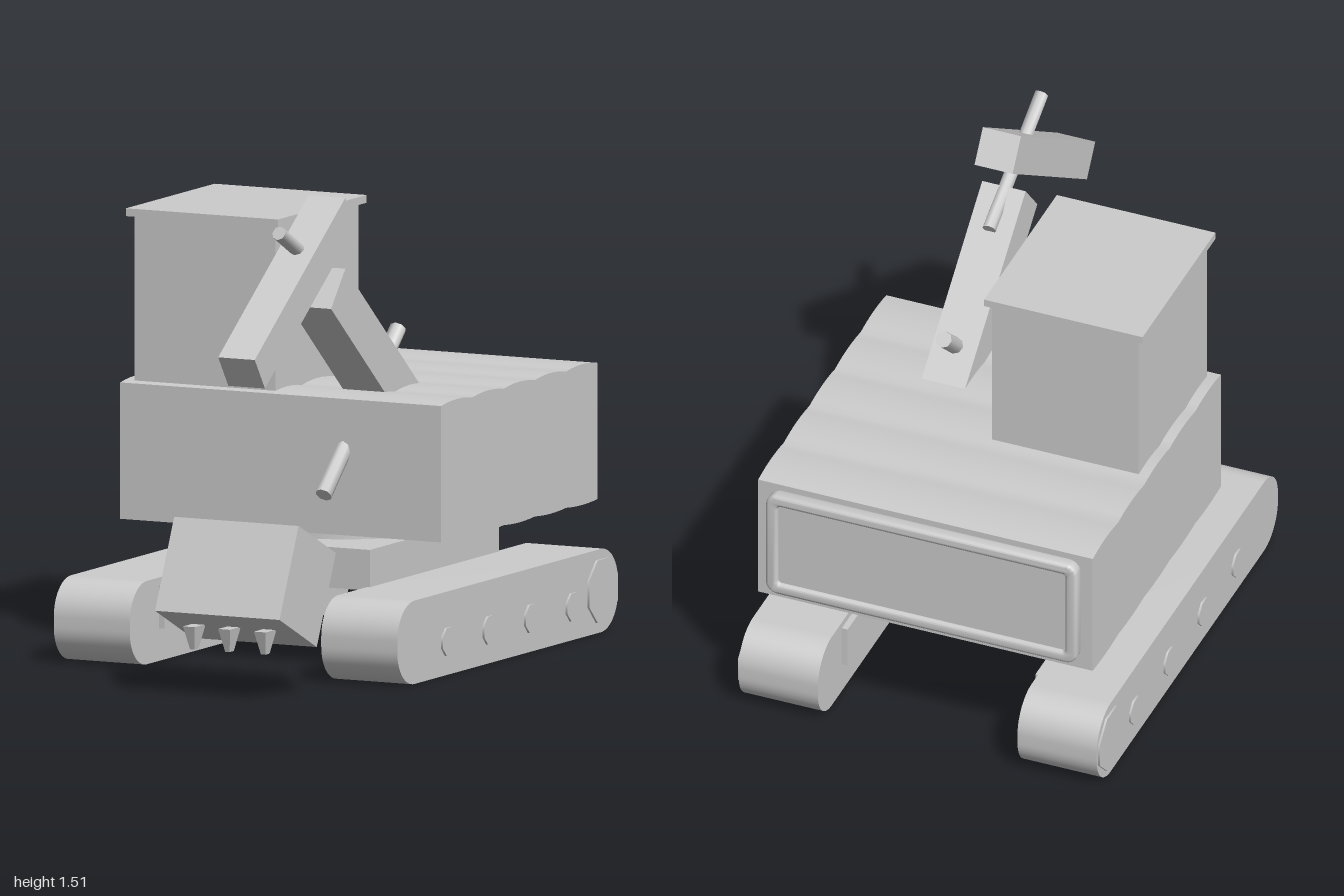
import * as THREE from 'three';
import { toCreasedNormals } from 'three/addons/utils/BufferGeometryUtils.js';

export function createModel() {
  const model = new THREE.Group();
  model.name = 'excavator';
  const grey = new THREE.MeshStandardMaterial({ color: 0xcccccc });
  grey.name = 'light grey';

  function add(name, geometry, x = 0, y = 0, z = 0) {
    const mesh = new THREE.Mesh(geometry, grey);
    mesh.name = name;
    mesh.position.set(x, y, z);
    model.add(mesh);
    return mesh;
  }

  // Box given by its minimum and maximum on each axis
  const box = (name, x0, x1, y0, y1, z0, z1) =>
    add(name, new THREE.BoxGeometry(x1 - x0, y1 - y0, z1 - z0),
      (x0 + x1) / 2, (y0 + y1) / 2, (z0 + z1) / 2);

  function roundedRect(path, w, h, r) {
    const a = w / 2, b = h / 2, q = Math.PI / 2;
    path.moveTo(a, -b + r);
    path.absarc(a - r, b - r, r, 0, q, false);
    path.absarc(-a + r, b - r, r, q, 2 * q, false);
    path.absarc(-a + r, -b + r, r, 2 * q, 3 * q, false);
    path.absarc(a - r, -b + r, r, 3 * q, 4 * q, false);
    path.closePath();
    return path;
  }

  // Extrude a (z, y) outline across x, centred on x = 0
  function extrudeAcross(shape, width, curveSegments = 8) {
    const g = new THREE.ExtrudeGeometry(shape, { depth: width, bevelEnabled: false, curveSegments });
    g.rotateY(-Math.PI / 2);
    g.translate(width / 2, 0, 0);
    return toCreasedNormals(g, 0.5);
  }

  // Bar between two (y, z) points at a given x
  function bar(name, geometry, x, [y0, z0], [y1, z1]) {
    const mesh = add(name, geometry, x, (y0 + y1) / 2, (z0 + z1) / 2);
    mesh.rotation.x = Math.atan2(z1 - z0, y1 - y0);
    return mesh;
  }
  const length = ([y0, z0], [y1, z1]) => Math.hypot(y1 - y0, z1 - z0);

  // Rod with smooth sides
  const rod = (name, r, x, a, b) =>
    bar(name, toCreasedNormals(new THREE.CylinderGeometry(r, r, length(a, b), 8), 1), x, a, b);
  const beam = (name, w, d, x, a, b) =>
    bar(name, new THREE.BoxGeometry(w, length(a, b), d), x, a, b);

  // Tracks, with rollers outside and a rail inside
  const track = extrudeAcross(roundedRect(new THREE.Shape(), 1.52, 0.266, 0.118), 0.27);
  function roller(name, side, r, y, z) {
    const g = new THREE.CylinderGeometry(r, r, 0.04, 8);
    g.rotateY(Math.PI / 8);
    g.rotateZ(Math.PI / 2);
    add(name, g, side * 0.597, y, z);
  }
  for (const side of [-1, 1]) {
    const label = side > 0 ? 'left' : 'right';
    add(label + 'Track', track, side * 0.475, 0.133, -0.24);
    for (const z of [0.174, -0.11, -0.397, -0.684]) roller(label + 'Roller', side, 0.048, 0.107, z);
    roller(label + 'DriveWheel', side, 0.108, 0.134, -0.888);
    add(label + 'TrackRail', new THREE.BoxGeometry(0.03, 0.14, 1.12), side * 0.335, 0.174, -0.24);
  }

  // Undercarriage and turntable
  box('undercarriage', -0.35, 0.35, 0.255, 0.385, -0.684, 0.205);
  add('turntable', toCreasedNormals(new THREE.CylinderGeometry(0.38, 0.38, 0.034, 32), 0.5), 0, 0.4, -0.303);

  // Upper body, its top and underside made of five slightly domed bands
  const z0 = -0.935, z1 = 0.14, bands = 5, step = (z1 - z0) / bands;
  const hull = new THREE.Shape();
  hull.moveTo(z0, 0.415);
  for (let i = 0; i < bands; i++) {
    const z = z0 + i * step;
    hull.quadraticCurveTo(z + step / 2, 0.405, z + step, 0.415);
  }
  hull.lineTo(z1, 0.85);
  for (let i = 0; i < bands; i++) {
    const z = z1 - i * step;
    hull.quadraticCurveTo(z - step / 2, 0.868, z - step, 0.85);
  }
  hull.closePath();
  add('body', extrudeAcross(hull, 1.14, 6));

  // Rear panel with a raised rounded frame
  const frameShape = roundedRect(new THREE.Shape(), 1.04, 0.36, 0.03);
  frameShape.holes.push(roundedRect(new THREE.Path(), 1.0, 0.32, 0.02));
  const frame = new THREE.ExtrudeGeometry(frameShape, {
    depth: 0.025, bevelThickness: 0.01, bevelSize: 0.01, bevelSegments: 3, curveSegments: 4,
  });
  add('rearPanelFrame', toCreasedNormals(frame, 0.7), 0, 0.64, -0.965);
  box('rearPanel', -0.505, 0.505, 0.475, 0.805, -0.96, -0.93);

  // Cab and roof
  box('cab', -0.535, -0.035, 0.85, 1.383, -0.463, 0.108);
  box('cabRoof', -0.555, -0.015, 1.38, 1.405, -0.48, 0.13);

  // Boom, stick and hydraulic rods
  const armX = 0.22;
  beam('boom', 0.148, 0.152, armX, [0.72, -0.286], [1.228, 0.314]);
  beam('stick', 0.13, 0.122, armX, [1.022, 0.836], [1.459, 0.213]);
  rod('stickRod', 0.023, armX, [1.2, 0.142], [1.434, 0.579]);
  rod('boomRod', 0.027, armX, [0.56, 0.271], [1.027, -0.241]);

  // Tilted bucket
  const bucket = add('bucket', new THREE.BoxGeometry(0.442, 0.312, 0.283), armX, 0.352, 0.809);
  bucket.rotation.x = -0.435;

  // Tapered bucket teeth
  const tooth = new THREE.CylinderGeometry(Math.SQRT1_2, 0.38 * Math.SQRT1_2, 1, 4).toNonIndexed();
  tooth.rotateY(Math.PI / 4);
  tooth.scale(0.042, 0.075, 0.075);
  tooth.computeVertexNormals();
  for (const x of [0.095, 0.22, 0.347]) add('bucketTooth', tooth, x, 0.182, 0.919);

  return model;
}
